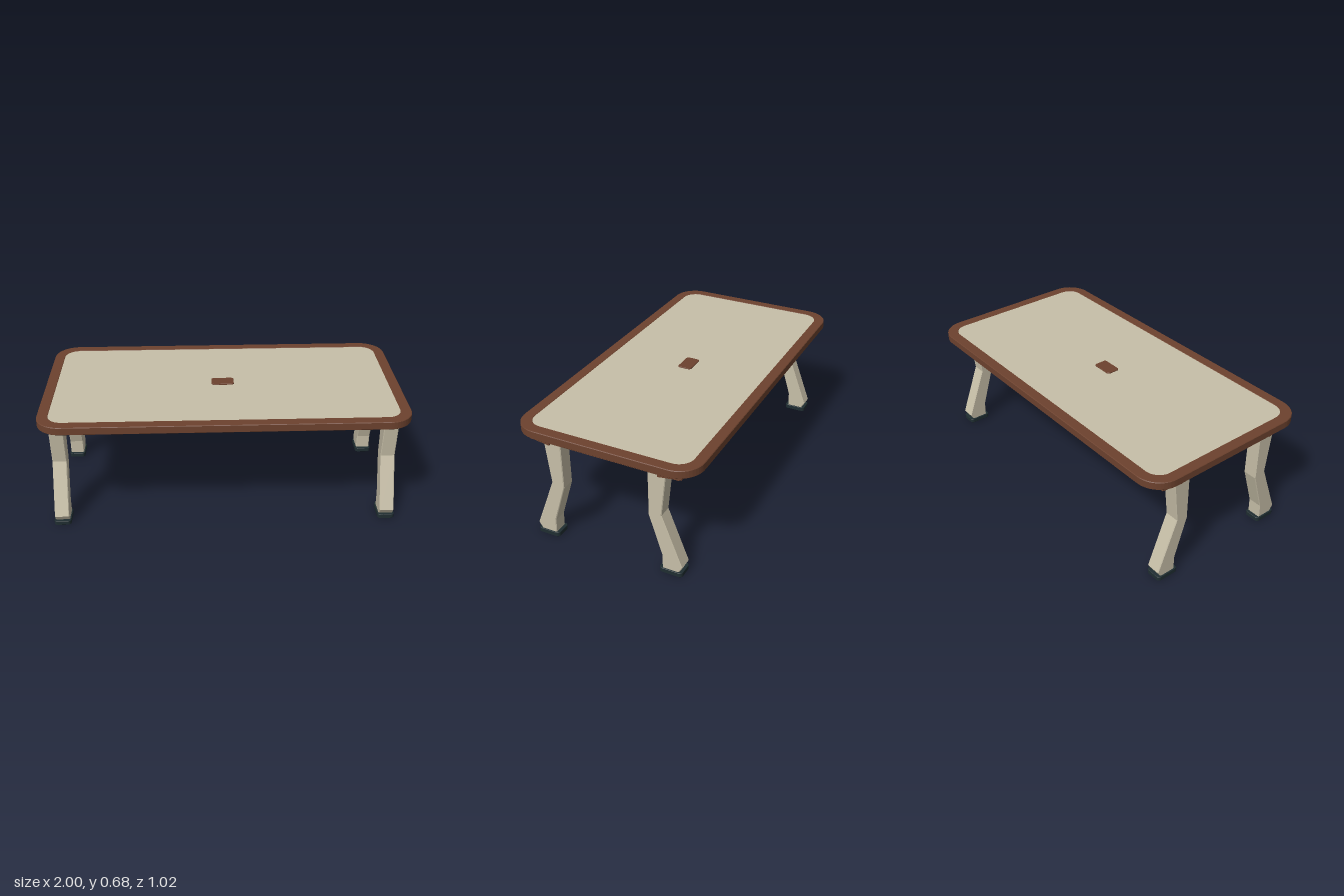
import * as THREE from 'three';

const mat = (name, color) => {
  const m = new THREE.MeshStandardMaterial({ color });
  m.name = name;
  return m;
};

// Traces a rounded rectangle with half sizes x, z and corner radius r
function trace(path, x, z, r) {
  path.absarc(x - r, z - r, r, 0, Math.PI / 2);
  path.absarc(-x + r, z - r, r, Math.PI / 2, Math.PI);
  path.absarc(-x + r, -z + r, r, Math.PI, Math.PI * 1.5);
  path.absarc(x - r, -z + r, r, Math.PI * 1.5, Math.PI * 2);
  path.closePath();
  return path;
}

// Horizontal rounded plate spanning y0..y1, optionally with a rounded opening
function plate([hx, hz, r], y0, y1, bevel = 0, hole = null) {
  const s = trace(new THREE.Shape(), hx - bevel, hz - bevel, r - bevel);
  if (hole) s.holes.push(trace(new THREE.Path(), ...hole.map((v) => v + bevel)));
  const g = new THREE.ExtrudeGeometry(s, {
    depth: y1 - y0 - 2 * bevel, curveSegments: 6, bevelEnabled: bevel > 0,
    bevelSize: bevel, bevelThickness: bevel, bevelSegments: 1,
  });
  return g.rotateX(-Math.PI / 2).translate(0, y0 + bevel, 0);
}

// Bent leg, profile given as [z, y], extruded along x and centred
function legGeometry(width) {
  const b = 0.004;
  const profile = [
    [0.251, 0.608], [0.251, 0.335], [0.322, 0.107], [0.324, 0.024],
    [0.407, 0.024], [0.427, 0.057], [0.315, 0.35], [0.344, 0.608],
  ];
  const s = new THREE.Shape(profile.map(([z, y]) => new THREE.Vector2(-z, y)));
  const g = new THREE.ExtrudeGeometry(s, {
    depth: width - 2 * b, bevelEnabled: true, bevelSize: b, bevelThickness: b, bevelSegments: 1,
  });
  return g.translate(0, 0, -width / 2 + b).rotateY(Math.PI / 2);
}

export function createModel() {
  const model = new THREE.Group();
  model.name = 'table';
  const wood = mat('brown wood', 0x6d422e);
  const beige = mat('beige laminate', 0xc7bfa8);
  const rubber = mat('dark rubber', 0x1f2d31);

  const add = (parent, name, geometry, material, x = 0, y = 0, z = 0) => {
    const m = new THREE.Mesh(geometry, material);
    m.name = name;
    m.position.set(x, y, z);
    parent.add(m);
    return m;
  };

  // Table top: framed edge, inlaid surface, cable cover, underside panel
  const opening = [0.94, 0.452, 0.08];
  add(model, 'tabletopFrame', plate([1, 0.512, 0.135], 0.627, 0.671, 0.003, opening), wood);
  add(model, 'tabletopSurface', plate([0.945, 0.457, 0.085], 0.635, 0.669), beige);
  add(model, 'cableCover', plate([0.063, 0.04, 0.015], 0.667, 0.675, 0.002), wood);
  add(model, 'undersidePanel', plate([0.97, 0.484, 0.085], 0.62, 0.636), beige);

  // Under frame: long centre beam and a crossbar at each end
  add(model, 'centreBeam', new THREE.BoxGeometry(1.76, 0.014, 0.04), wood, 0, 0.618, 0);
  for (const sx of [-1, 1]) {
    add(model, 'crossbar', new THREE.BoxGeometry(0.09, 0.028, 0.84), wood, sx * 0.915, 0.609, 0);
  }

  // Four corner assemblies, turned half round for the back
  const legGeo = legGeometry(0.08);
  const footGeo = plate([0.047, 0.065, 0.018], 0, 0.026, 0.002);
  const bracketGeo = new THREE.BoxGeometry(0.1, 0.023, 0.13);
  for (const sx of [-1, 1]) {
    for (const front of [true, false]) {
      const corner = new THREE.Group();
      corner.name = (front ? 'front' : 'back') + (sx > 0 ? 'Left' : 'Right') + 'Leg';
      corner.position.x = sx * 0.915;
      if (!front) corner.rotation.y = Math.PI;
      add(corner, 'leg', legGeo, beige);
      add(corner, 'foot', footGeo, rubber, 0, 0, 0.367);
      add(corner, 'bracket', bracketGeo, wood, 0, 0.607, 0.37).rotation.x = -0.14;
      model.add(corner);
    }
  }
  return model;
}
